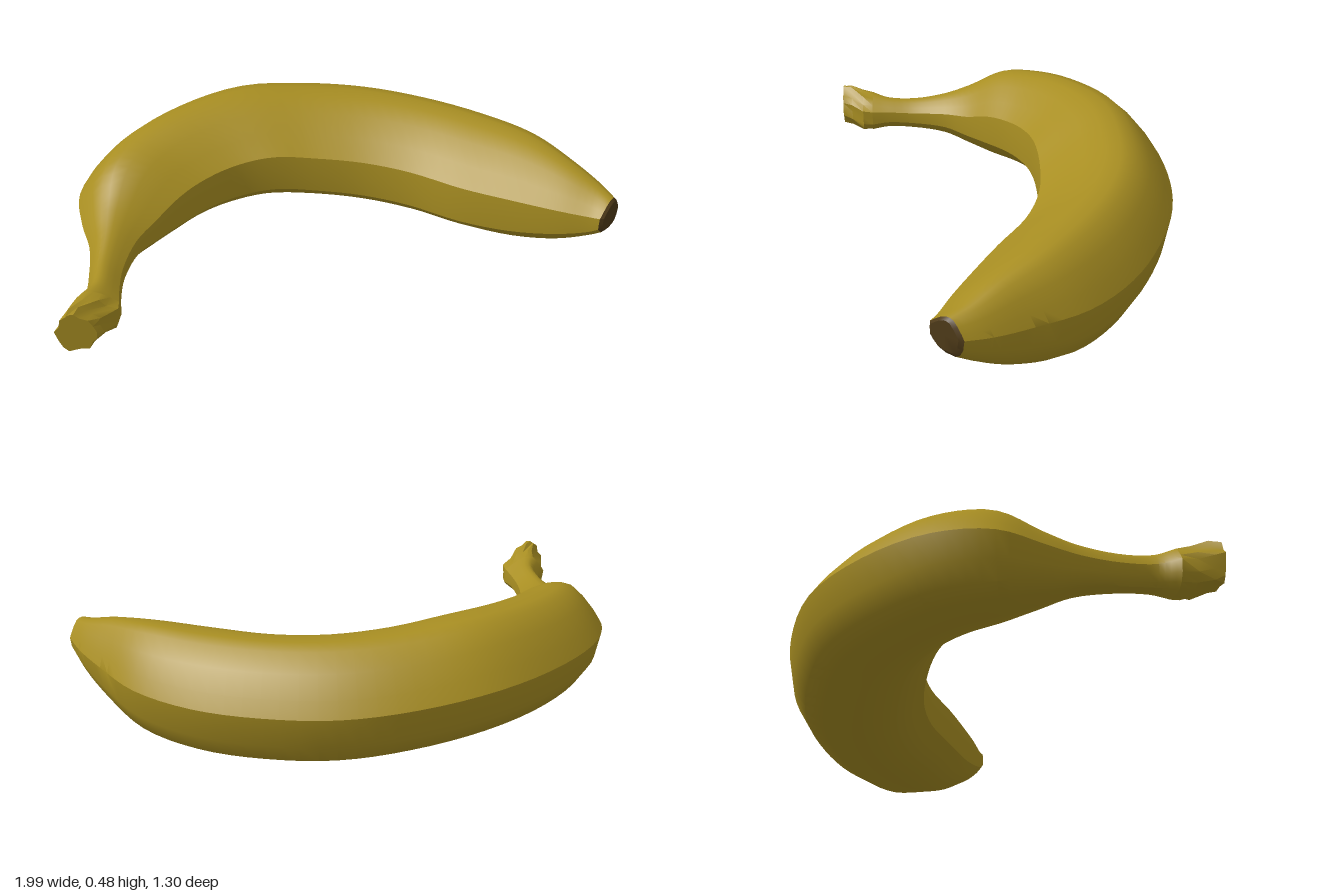
import * as THREE from 'three';
import { toCreasedNormals } from 'three/addons/utils/BufferGeometryUtils.js';

// Ridged cross-section: t runs from inner to outer side of the bend, v from bottom to top
const SECTION = [
  [0, 0.31], [-0.005, 0.49], [0.01, 0.67], [0.17, 0.8], [0.33, 0.92], [0.48, 0.99], [0.6, 1], [0.7, 0.97],
  [0.82, 0.84], [0.93, 0.68], [1, 0.55], [0.96, 0.28], [0.87, 0.1], [0.73, 0.01], [0.46, 0], [0.23, 0.07], [0.09, 0.2],
];

// Stations along the fruit: inner x, inner z, outer x, outer z, bottom y, top y
const STEM = [
  [-0.795, 0.51, -0.965, 0.51, 0.15, 0.305],
  [-0.80, 0.44, -0.92, 0.45, 0.167, 0.292],
  [-0.795, 0.33, -0.915, 0.33, 0.163, 0.288],
  [-0.755, 0.2, -0.925, 0.2, 0.148, 0.312],
];
const BODY = [
  [-0.69, 0.11, -0.96, 0.08, 0.115, 0.35],
  [-0.60, 0.02, -0.98, -0.08, 0.085, 0.42],
  [-0.50, -0.06, -0.90, -0.27, 0.08, 0.45],
  [-0.38, -0.12, -0.70, -0.46, 0.075, 0.47],
  [-0.25, -0.15, -0.42, -0.61, 0.07, 0.477],
  [-0.10, -0.16, -0.13, -0.655, 0.045, 0.457],
  [0.08, -0.145, 0.13, -0.635, 0.02, 0.44],
  [0.25, -0.09, 0.38, -0.55, 0.005, 0.428],
  [0.43, 0.015, 0.60, -0.43, 0, 0.42],
  [0.60, 0.10, 0.78, -0.27, 0.02, 0.41],
  [0.75, 0.17, 0.89, -0.09, 0.08, 0.38],
  [0.86, 0.215, 0.96, 0.04, 0.15, 0.345],
  [0.9, 0.235, 0.995, 0.13, 0.195, 0.328],
];
const CROWN = [
  [-0.865, 0.64, -0.995, 0.64, 0.165, 0.322],
  [-0.85, 0.6, -0.985, 0.61, 0.155, 0.32],
  [-0.80, 0.55, -0.975, 0.56, 0.145, 0.312],
  STEM[0],
];
const TIP = [
  BODY[BODY.length - 1],
  [0.915, 0.233, 0.992, 0.148, 0.21, 0.318],
];

// Smoothly resample stations, with inner and outer edges as curves
function resample(rows, n) {
  const curve = (f) => new THREE.CatmullRomCurve3(rows.map(f));
  const inner = curve((r) => new THREE.Vector3(r[0], r[4], r[1]));
  const outer = curve((r) => new THREE.Vector3(r[2], r[5], r[3]));
  return Array.from({ length: n + 1 }, (_, i) => {
    const a = inner.getPoint(i / n), b = outer.getPoint(i / n);
    return [a.x, a.z, b.x, b.z, a.y, b.y];
  });
}

// Skin a closed loop of section points through the stations; jag(i, j) pushes points outward
function loft(rows, { capStart = false, capEnd = false, jag = () => 0 } = {}) {
  const pos = [], index = [], m = SECTION.length;
  rows.forEach(([ix, iz, ox, oz, y0, y1], i) => {
    SECTION.forEach(([t, v], j) => {
      const s = 1 + jag(i, j);
      const tt = 0.5 + (t - 0.5) * s, vv = 0.5 + (v - 0.5) * s;
      pos.push(ix + (ox - ix) * tt, y0 + (y1 - y0) * vv, iz + (oz - iz) * tt);
    });
  });
  for (let i = 0; i < rows.length - 1; i++) {
    for (let j = 0; j < m; j++) {
      const k = (j + 1) % m, a = i * m + j, b = i * m + k;
      index.push(a, a + m, b, b, a + m, b + m);
    }
  }
  const cap = (i, atEnd) => {
    const [ix, iz, ox, oz, y0, y1] = rows[i];
    const c = pos.length / 3;
    pos.push((ix + ox) / 2, (y0 + y1) / 2, (iz + oz) / 2);
    for (let j = 0; j < m; j++) {
      const a = i * m + j, b = i * m + (j + 1) % m;
      index.push(c, atEnd ? b : a, atEnd ? a : b);
    }
  };
  if (capStart) cap(0, false);
  if (capEnd) cap(rows.length - 1, true);
  const g = new THREE.BufferGeometry();
  g.setAttribute('position', new THREE.Float32BufferAttribute(pos, 3));
  g.setIndex(index);
  return toCreasedNormals(g, 0.55);
}

export function createModel() {
  const group = new THREE.Group();
  group.name = 'banana';
  const peel = new THREE.MeshStandardMaterial({ color: 0xa88e22 });
  peel.name = 'yellow peel';
  const brown = new THREE.MeshStandardMaterial({ color: 0x4e3a18 });
  brown.name = 'dry brown';

  const add = (name, geometry, material) => {
    const mesh = new THREE.Mesh(geometry, material);
    mesh.name = name;
    group.add(mesh);
  };

  // Curved fruit and narrow stem share one smooth skin
  add('peelAndStem', loft(resample([...STEM, ...BODY], 64)), peel);

  // Ragged flared end of the stem
  const jag = (i, j) => (i === CROWN.length - 1 ? 0 : 0.08 * Math.sin(j * 2.6 + i * 1.7));
  add('stemCrown', loft(CROWN, { capStart: true, jag }), peel);

  // Dried blossom end
  add('blossomTip', loft(TIP, { capEnd: true }), brown);
  return group;
}
